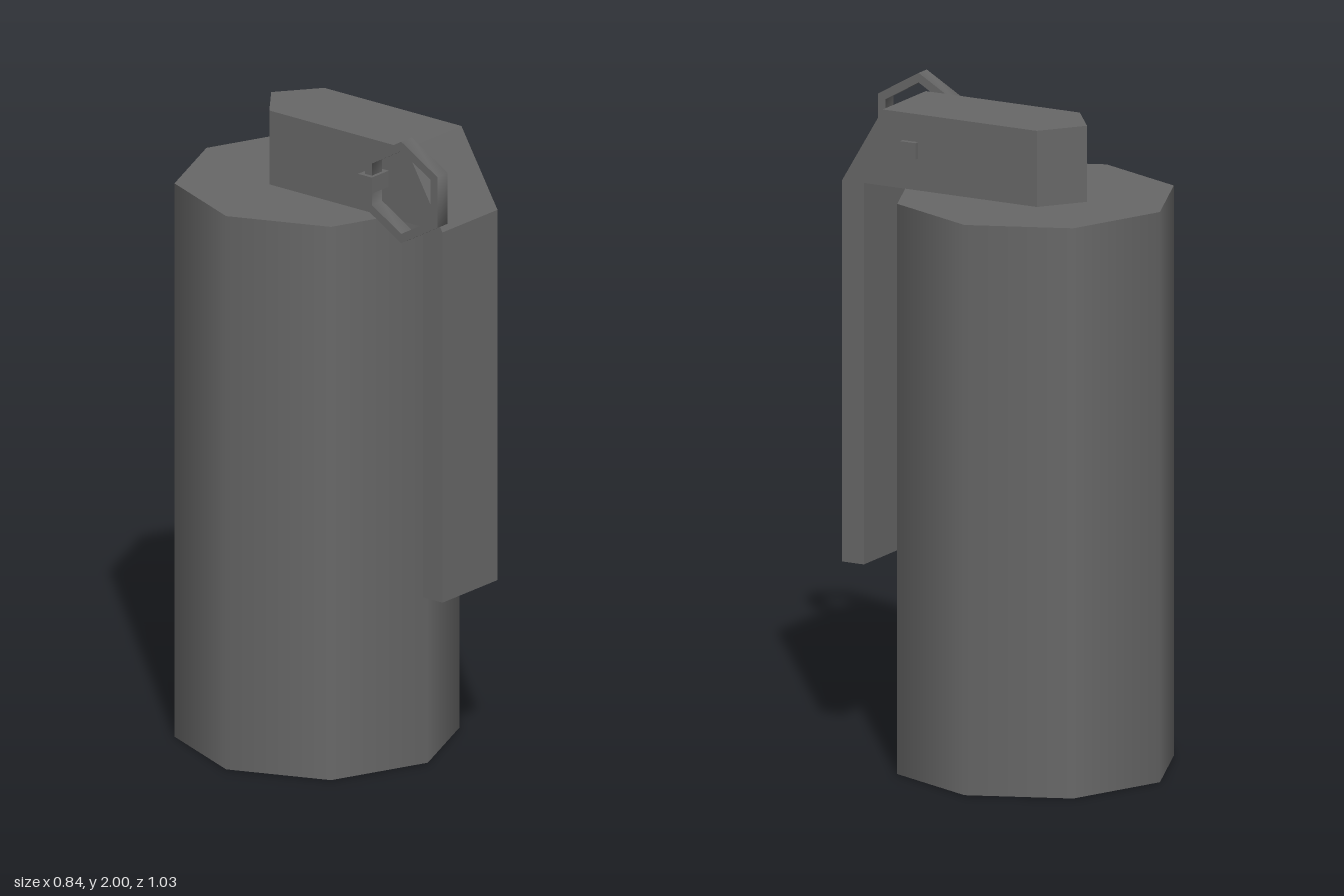
import * as THREE from 'three';
import { toCreasedNormals } from 'three/addons/utils/BufferGeometryUtils.js';

const darkGrey = new THREE.MeshStandardMaterial({ color: 0x676767 });

const BODY_TOP = 1.723;
const HALF_WIDTH = 0.127;

// Extrudes a (z, y) outline along x, centred on x = 0
function extrudeAcross(shape, width, steps = 1) {
  const geometry = new THREE.ExtrudeGeometry(shape, { depth: width, steps, bevelEnabled: false });
  return geometry.translate(0, 0, -width / 2).rotateY(-Math.PI / 2);
}

function hexagon(radius) {
  return Array.from({ length: 6 }, (_, i) => {
    const a = Math.PI / 2 + i * Math.PI / 3;
    return new THREE.Vector2(Math.cos(a) * radius, Math.sin(a) * radius);
  });
}

export function createModel() {
  const model = new THREE.Group();
  const add = (name, geometry, x, y, z) => {
    const mesh = new THREE.Mesh(geometry, darkGrey);
    mesh.name = name;
    mesh.position.set(x, y, z);
    model.add(mesh);
  };

  // Eight-sided canister with smooth-shaded walls
  add('body', new THREE.CylinderGeometry(0.42, 0.42, BODY_TOP, 8), 0, BODY_TOP / 2, -0.097);

  // Head block and hanging lever in one side profile
  const profile = new THREE.Shape([
    [-0.174, BODY_TOP], [0.41, BODY_TOP], [0.41, 0.57], [0.483, 0.57],
    [0.483, BODY_TOP], [0.346, 1.953], [-0.174, 1.953],
  ].map(([z, y]) => new THREE.Vector2(z, y)));
  const lever = extrudeAcross(profile, HALF_WIDTH * 2, 2);

  // Pull the middle of the back face out to a ridge
  const p = lever.attributes.position;
  for (let i = 0; i < p.count; i++) {
    if (Math.abs(p.getX(i)) < 0.01 && p.getZ(i) < -0.17) p.setZ(i, -0.271);
  }
  lever.computeVertexNormals();
  add('headAndLever', lever, 0, 0, 0);

  // Square pin through the head
  add('pin', new THREE.BoxGeometry(0.348, 0.05, 0.052), -0.031, 1.844, 0.253);

  // Six-sided pull ring on the right end of the pin
  const ringShape = new THREE.Shape(hexagon(0.158));
  ringShape.holes.push(new THREE.Path(hexagon(0.129)));
  const ring = toCreasedNormals(extrudeAcross(ringShape, 0.048), 1.2);
  add('pullRing', ring, -0.168, 1.842, 0.38);

  return model;
}
